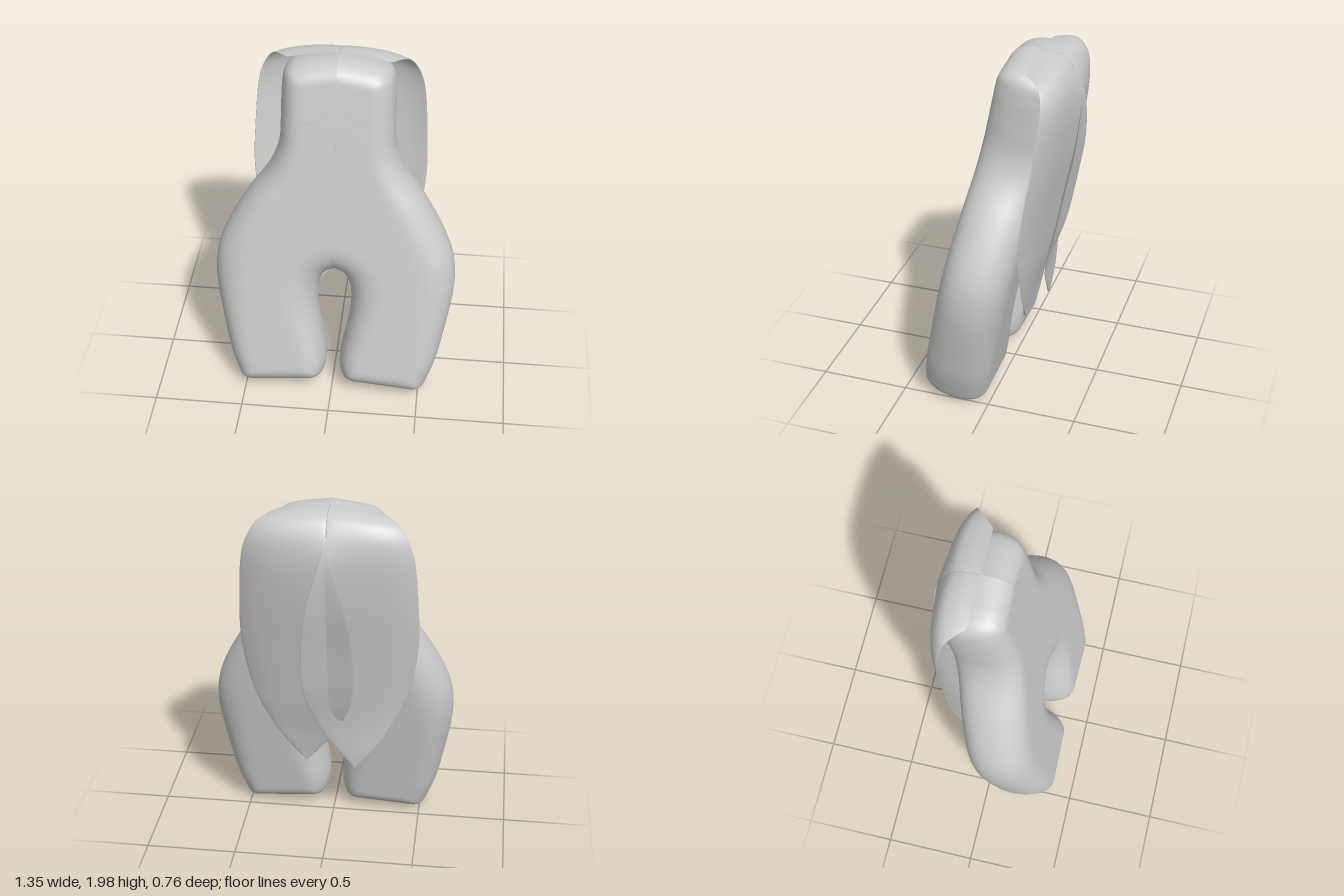
import * as THREE from 'three';
import { mergeGeometries, mergeVertices } from 'three/addons/utils/BufferGeometryUtils.js';

const V = (x, y, z = 0) => new THREE.Vector3(x, y, z);
const spline = pts => new THREE.CatmullRomCurve3(pts, false, 'centripetal');
const smoothstep = THREE.MathUtils.smoothstep;
const easeEnds = t => (1 - Math.cos(Math.PI * t)) / 2;

// Grid surface from rows of points; flip reverses the facing
function gridGeometry(rows, flip) {
  const n = rows[0].length, pos = [], idx = [];
  rows.forEach(r => r.forEach(p => pos.push(p.x, p.y, p.z)));
  for (let j = 0; j < rows.length - 1; j++) {
    for (let i = 0; i < n - 1; i++) {
      const a = j * n + i, b = a + 1, c = a + n, d = c + 1;
      if (flip) idx.push(a, c, b, b, c, d);
      else idx.push(a, b, c, b, d, c);
    }
  }
  const g = new THREE.BufferGeometry();
  g.setAttribute('position', new THREE.Float32BufferAttribute(pos, 3));
  g.setIndex(idx);
  return g;
}

function weld(parts) {
  const g = mergeVertices(mergeGeometries(parts), 1e-4);
  g.computeVertexNormals();
  return g;
}

// Padded body: half outline as rows of [outer x, outer y, inner x, inner y], foot to head
const BODY = [
  [0.48, 0.005, 0.11, 0.035], [0.53, 0.03, 0.06, 0.065], [0.565, 0.11, 0.04, 0.13],
  [0.60, 0.22, 0.043, 0.22], [0.627, 0.36, 0.07, 0.36], [0.655, 0.52, 0.093, 0.50],
  [0.672, 0.65, 0.092, 0.62], [0.674, 0.74, 0.07, 0.70], [0.668, 0.81, 0.035, 0.742],
  [0.65, 0.89, 0, 0.755], [0.60, 1.01, 0, 0.92], [0.49, 1.20, 0, 1.16],
  [0.37, 1.37, 0, 1.36], [0.318, 1.51, 0, 1.52], [0.308, 1.68, 0, 1.70],
  [0.303, 1.84, 0, 1.86], [0.288, 1.92, 0, 1.95], [0.25, 1.96, 0, 1.99], [0.18, 1.985, 0, 2.012],
];
const halfDepth = y => 0.192 - 0.006 * y;

function bodyGeometry() {
  const outer = spline(BODY.map(r => V(r[0], r[1])));
  const inner = spline(BODY.map(r => V(r[2], r[3])));
  const nv = 140, nu = 28, flat = [];
  for (let j = 0; j <= nv; j++) {
    const t = easeEnds(j / nv), a = inner.getPoint(t), b = outer.getPoint(t), row = [];
    if (a.x < 0.003 || a.y > 0.755) a.x = 0;
    for (let i = 0; i <= nu; i++) row.push(a.clone().lerp(b, easeEnds(i / nu)));
    flat.push(row);
  }
  // Border: sole, outer side, top of head and the arch between the legs
  const border = [];
  const addLine = pts => pts.slice(1).forEach((p, i) => border.push(new THREE.Line3(pts[i].clone(), p.clone())));
  const innerSide = flat.map(r => r[0]);
  addLine(flat[0]);
  addLine(flat[nv]);
  addLine(flat.map(r => r[nu]));
  addLine(innerSide.slice(0, innerSide.findIndex(p => p.x === 0) + 1));
  // Thickness swells with distance from the border
  const q = V(0, 0);
  flat.forEach(row => row.forEach(p => {
    let d = 9;
    for (const s of border) {
      s.closestPointToPoint(p, true, q);
      d = Math.min(d, Math.hypot(q.x - p.x, q.y - p.y));
    }
    const round = 0.12 + 0.08 * Math.exp(-(((p.y - 0.8) / 0.45) ** 2));
    const s = Math.min(d / round, 1);
    p.z = halfDepth(p.y) * (1 - (1 - s) ** 2.2) ** (1 / 2.2);
  }));
  const parts = [];
  for (const sx of [1, -1]) for (const sz of [1, -1]) {
    parts.push(gridGeometry(flat.map(r => r.map(p => V(p.x * sx, p.y, p.z * sz))), sx * sz < 0));
  }
  return weld(parts);
}

// Long hanging ear: rows of [y, z, inner x, outer x], head to tip
const EAR = [
  [1.988, -0.148, 0, 0.28], [1.98, -0.22, 0, 0.325], [1.95, -0.285, 0, 0.37],
  [1.88, -0.325, 0, 0.41], [1.76, -0.338, -0.03, 0.447], [1.50, -0.312, -0.10, 0.473],
  [1.20, -0.26, -0.14, 0.48], [0.90, -0.21, -0.13, 0.43], [0.65, -0.165, -0.04, 0.32],
  [0.50, -0.145, 0.06, 0.22], [0.40, -0.13, 0.14, 0.14],
];

function earGeometry(side) {
  const path = spline(EAR.map(r => V(0, r[0], r[1])));
  const edges = spline(EAR.map(r => V(r[2], r[3], r[0])));
  const nv = 70, nu = 24, front = [], back = [];
  for (let j = 0; j <= nv; j++) {
    const t = j / nv, c = path.getPoint(t), e = edges.getPoint(t);
    const curl = Math.sin(Math.PI * t) * smoothstep(c.y, 0.4, 1.0);
    const innerCurl = curl * smoothstep(t, 0.2, 0.55);
    // Near the tips one ear lies behind the other
    const apart = 0.03 * side * (1 - smoothstep(c.y, 0.35, 0.85));
    front.push([]);
    back.push([]);
    for (let i = 0; i <= nu; i++) {
      const u = easeEnds(i / nu), x = THREE.MathUtils.lerp(e.x, e.y, u);
      const y = c.y - 0.5 * x * x * Math.max(0, 1 - t * 2.5);
      // Outer rim rolls forward, inner rim rolls back
      const z = c.z + 0.08 * curl * u ** 4 - 0.06 * innerCurl * (1 - u) ** 2.5 + apart;
      const thick = 0.007 * Math.sqrt(1 - (2 * u - 1) ** 4);
      front[j].push(V(x * side, y, z + thick));
      back[j].push(V(x * side, y, z - thick));
    }
  }
  return weld([gridGeometry(front, side > 0), gridGeometry(back, side < 0)]);
}

export function createModel() {
  const model = new THREE.Group();
  model.name = 'plushFigure';
  const grey = new THREE.MeshStandardMaterial({ color: 0xcccccc });
  const sheet = new THREE.MeshStandardMaterial({ color: 0xcccccc, side: THREE.DoubleSide });
  const add = (parent, name, geometry, material = grey) => {
    const m = new THREE.Mesh(geometry, material);
    m.name = name;
    parent.add(m);
  };

  // Body and stitched face lean back together
  const leaning = new THREE.Group();
  leaning.name = 'leaningBody';
  leaning.position.set(0, 0.01, 0.222);
  leaning.rotation.x = -0.195;
  model.add(leaning);
  add(leaning, 'body', bodyGeometry());

  const stitch = (name, pts) => add(leaning, name, new THREE.TubeGeometry(spline(pts.map(([x, y]) => {
    const h = (y - 0.044) / 0.981;
    return V(x, h, halfDepth(h) - 0.002);
  })), 20, 0.003, 5));
  for (const [s, side] of [[1, 'left'], [-1, 'right']]) {
    stitch(side + 'Eye', [[s * 0.19, 1.69], [s * 0.13, 1.685], [s * 0.09, 1.70], [s * 0.075, 1.74]]);
    stitch(side + 'Mouth', [[0, 1.54], [s * 0.03, 1.515], [s * 0.08, 1.50], [s * 0.14, 1.53]]);
  }
  stitch('nose', [[-0.05, 1.66], [-0.04, 1.61], [0, 1.58], [0.04, 1.61], [0.05, 1.66]]);
  stitch('lipLine', [[0, 1.58], [0, 1.54]]);

  // Ears hang down the back and cross at the middle
  add(model, 'leftEar', earGeometry(1), sheet);
  add(model, 'rightEar', earGeometry(-1), sheet);
  return model;
}
